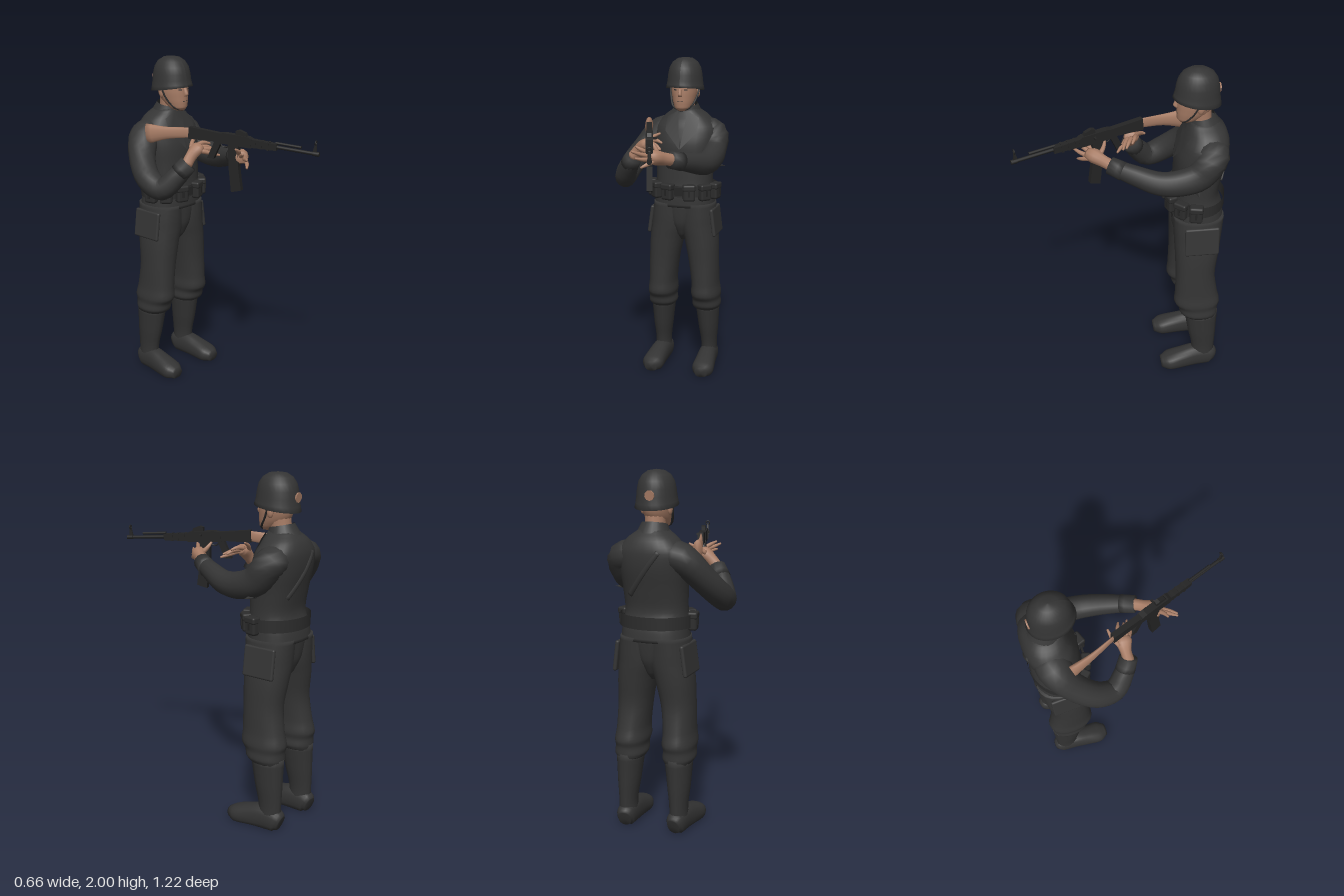
import * as THREE from 'three';
import { RoundedBoxGeometry } from 'three/addons/geometries/RoundedBoxGeometry.js';

const mat = (name, color) => Object.assign(new THREE.MeshStandardMaterial({ color, side: THREE.DoubleSide }), { name });
const CX = 0.06; // middle of the body
const Y = new THREE.Vector3(0, 1, 0), Z = new THREE.Vector3(0, 0, 1);
const power = (v, e) => Math.sign(v) * Math.abs(v) ** e;

// Smooth sweep through points [x, y, z, halfWidth, halfDepth]; square < 1 makes the section boxier
function sweep(pts, { n = 14, steps = 4, ref = Y, level = false, floor = -9, square = 1 } = {}) {
  const path = new THREE.CatmullRomCurve3(pts.map(p => new THREE.Vector3(p[0], p[1], p[2])));
  const radii = new THREE.CatmullRomCurve3(pts.map(p => new THREE.Vector3(p[3], p[4], 0)), false, 'catmullrom', 0.4);
  const rows = (pts.length - 1) * steps, pos = [], idx = [];
  for (let i = 0; i <= rows; i++) {
    const c = path.getPoint(i / rows), r = radii.getPoint(i / rows);
    const t = level ? Y.clone() : path.getTangent(i / rows);
    const u = t.clone().cross(level ? Z : ref).normalize(), v = u.clone().cross(t);
    for (let j = 0; j < n; j++) {
      const a = j / n * Math.PI * 2;
      const p = c.clone().addScaledVector(u, r.x * power(Math.cos(a), square)).addScaledVector(v, r.y * power(Math.sin(a), square));
      pos.push(p.x, Math.max(p.y, floor), p.z);
      if (i < rows) {
        const b = i * n, k = (j + 1) % n;
        idx.push(b + j, b + n + j, b + k, b + k, b + n + j, b + n + k);
      }
    }
  }
  // end caps
  const first = pos.length / 3, a = pts[0], b = pts[pts.length - 1];
  pos.push(a[0], a[1], a[2], b[0], b[1], b[2]);
  for (let j = 0; j < n; j++) {
    const k = (j + 1) % n, e = rows * n;
    idx.push(first, j, k, first + 1, e + k, e + j);
  }
  const g = new THREE.BufferGeometry();
  g.setAttribute('position', new THREE.Float32BufferAttribute(pos, 3));
  g.setIndex(idx);
  g.computeVertexNormals();
  return g;
}

// Torso rings: [y, centre z, half width, half depth]
const TORSO = [[1.09, -0.445, 0.192, 0.152], [1.16, -0.44, 0.186, 0.148], [1.25, -0.43, 0.176, 0.13], [1.36, -0.44, 0.18, 0.136],
  [1.48, -0.455, 0.192, 0.146], [1.57, -0.47, 0.195, 0.135], [1.635, -0.475, 0.145, 0.112], [1.69, -0.46, 0.075, 0.08]];
const BOXY = 0.85;
function torsoZ(x, y, side) {
  const i = Math.max(0, TORSO.findIndex(r => r[0] >= y) - 1), a = TORSO[i], b = TORSO[i + 1];
  const k = (y - a[0]) / (b[0] - a[0]), m = j => a[j] + (b[j] - a[j]) * k;
  const q = Math.min(1, Math.abs(x - CX) / m(2));
  return m(1) + side * m(3) * (1 - q ** (2 / BOXY)) ** (BOXY / 2);
}

export function createModel() {
  const cloth = mat('uniformCloth', 0x353535), helmetMat = mat('helmetPaint', 0x343434), leather = mat('bootLeather', 0x333333);
  const webbing = mat('webbing', 0x2c2c2c), metal = mat('gunMetal', 0x242424), skin = mat('skin', 0xa87d66);
  const root = new THREE.Group();
  const add = (name, geo, m, parent = root) => {
    const mesh = new THREE.Mesh(geo, m);
    mesh.name = name;
    parent.add(mesh);
    return mesh;
  };
  const box = (name, m, s, p, parent = root, r = 0) => {
    const mesh = add(name, r ? new RoundedBoxGeometry(...s, 2, r) : new THREE.BoxGeometry(...s), m, parent);
    mesh.position.set(...p);
    return mesh;
  };

  // Jacket, neck and pelvis
  add('jacket', sweep(TORSO.map(r => [CX, ...r]), { n: 28, level: true, square: BOXY }), cloth);
  add('neck', sweep([[CX, 1.6, -0.46, 0.06, 0.06], [CX, 1.68, -0.445, 0.055, 0.06], [CX, 1.8, -0.43, 0.06, 0.065]], { level: true }), skin);
  add('pelvis', sweep([[CX, 0.865, -0.44, 0.02, 0.06], [CX, 0.91, -0.44, 0.05, 0.1], [CX, 0.99, -0.442, 0.11, 0.134],
    [CX, 1.11, -0.445, 0.186, 0.146]], { n: 22, level: true }), cloth);
  const collar = add('collar', new THREE.CylinderGeometry(0.07, 0.098, 0.065, 20, 1, true, 0.4, Math.PI * 2 - 0.8), cloth);
  collar.position.set(CX, 1.685, -0.455);
  collar.rotation.x = 0.2;
  for (const s of [-1, 1]) {
    const x = d => CX + s * d;
    // Lapels
    const lapel = new THREE.BufferGeometry();
    const corners = [[0.03, 1.68], [0.1, 1.64], [0.1, 1.56], [0.0, 1.45]];
    lapel.setAttribute('position', new THREE.Float32BufferAttribute(corners.flatMap(([d, y]) =>
      [x(d), y, torsoZ(x(d), y, 1) + 0.012]), 3));
    lapel.setIndex(s > 0 ? [0, 2, 1, 0, 3, 2] : [0, 1, 2, 0, 2, 3]);
    lapel.computeVertexNormals();
    add('lapel', lapel, cloth);

    // Trouser leg, boot and side pocket
    add('trouserLeg', sweep([[x(0.145), 0.405, -0.475, 0.078, 0.1], [x(0.145), 0.43, -0.465, 0.09, 0.115], [x(0.145), 0.47, -0.46, 0.086, 0.12],
      [x(0.143), 0.51, -0.452, 0.092, 0.138], [x(0.14), 0.58, -0.445, 0.086, 0.128], [x(0.13), 0.72, -0.435, 0.093, 0.118],
      [x(0.112), 0.87, -0.44, 0.106, 0.13], [x(0.095), 0.96, -0.442, 0.113, 0.138], [x(0.09), 1.03, -0.443, 0.112, 0.143],
      [x(0.086), 1.11, -0.445, 0.106, 0.147]], { n: 20, level: true, square: 0.9 }), cloth);
    add('bootShaft', sweep([[x(0.155), 0.06, -0.505, 0.052, 0.07], [x(0.155), 0.15, -0.505, 0.05, 0.072],
      [x(0.152), 0.28, -0.492, 0.064, 0.088], [x(0.147), 0.43, -0.48, 0.077, 0.103]], { level: true }), leather);
    add('bootFoot', sweep([[x(0.15), 0.045, -0.577, 0.036, 0.045], [x(0.153), 0.056, -0.55, 0.053, 0.066], [x(0.157), 0.062, -0.46, 0.058, 0.074],
      [x(0.163), 0.05, -0.37, 0.064, 0.064], [x(0.167), 0.037, -0.29, 0.068, 0.051], [x(0.167), 0.03, -0.24, 0.038, 0.033]],
      { floor: 0, n: 18, square: 0.85 }), leather);
    box('sidePocket', cloth, [0.024, 0.175, 0.2], [x(0.2), 0.99, -0.45], root, 0.011).rotation.z = s * 0.13;
  }

  // Belt with ammunition pouches
  const belt = add('belt', new THREE.CylinderGeometry(0.204, 0.204, 0.07, 32, 1, true), webbing);
  belt.scale.z = 0.79;
  belt.position.set(CX, 1.195, -0.44);
  for (const deg of [-78, -48, -19, 19, 48, 78]) {
    const a = deg * Math.PI / 180, g = new THREE.Group();
    g.name = 'ammoPouch';
    g.position.set(CX + 0.208 * Math.sin(a), 1.19, -0.44 + 0.168 * Math.cos(a));
    g.rotation.y = a;
    root.add(g);
    box('pouchBody', webbing, [0.075, 0.09, 0.05], [0, -0.005, 0], g, 0.015);
    box('pouchFlap', webbing, [0.08, 0.04, 0.056], [0, 0.033, 0], g, 0.012);
    box('pouchStud', metal, [0.012, 0.04, 0.006], [0, 0.0, 0.027], g);
  }
  box('beltBuckle', metal, [0.05, 0.05, 0.012], [CX, 1.195, -0.28]);

  // Strap running diagonally over the back
  const strap = [];
  for (let i = 0; i <= 6; i++) {
    const x = -0.02 + i * 0.03, y = 1.58 - i * 0.04;
    strap.push([x, y, torsoZ(x, y, -1) - 0.001, 0.015, 0.008]);
  }
  add('backStrap', sweep(strap, { n: 8, ref: Z }), cloth);

  // Head, face and ears
  add('head', sweep([[CX, 1.685, -0.36, 0.03, 0.035], [CX, 1.705, -0.375, 0.052, 0.065], [CX, 1.75, -0.4, 0.069, 0.094],
    [CX, 1.8, -0.41, 0.078, 0.104], [CX, 1.9, -0.41, 0.08, 0.1]], { n: 20, level: true }), skin);
  add('nose', sweep([[CX, 1.82, -0.312, 0.009, 0.012], [CX, 1.785, -0.302, 0.013, 0.016], [CX, 1.772, -0.306, 0.013, 0.01]], { n: 8, level: true }), skin);
  box('mouth', webbing, [0.036, 0.003, 0.008], [CX, 1.742, -0.311]);
  for (const s of [-1, 1]) {
    box('eye', webbing, [0.02, 0.006, 0.008], [CX + s * 0.032, 1.812, -0.317]).rotation.y = s * 0.35;
    const ear = add('ear', new THREE.SphereGeometry(1, 10, 8), skin);
    ear.scale.set(0.012, 0.03, 0.02);
    ear.position.set(CX + s * 0.08, 1.79, -0.425);
    add('chinStrap', sweep([[CX + s * 0.092, 1.83, -0.42, 0.007, 0.005], [CX + s * 0.079, 1.76, -0.39, 0.007, 0.005],
      [CX + s * 0.052, 1.705, -0.35, 0.007, 0.005], [CX, 1.683, -0.335, 0.007, 0.005]], { n: 6 }), webbing);
  }

  // Helmet with a flared rim, lower at the back
  const profile = [[0.09, 1.84], [0.108, 1.806], [0.117, 1.8], [0.112, 1.825], [0.107, 1.86], [0.103, 1.9], [0.094, 1.94], [0.075, 1.972], [0.045, 1.993], [0, 2]];
  const helmetGeo = new THREE.LatheGeometry(profile.map(([r, y]) => new THREE.Vector2(r, y)), 28);
  const hp = helmetGeo.attributes.position;
  for (let i = 0; i < hp.count; i++) {
    const low = Math.max(0, (1.88 - hp.getY(i)) / 0.08);
    hp.setXYZ(i, hp.getX(i) + CX, hp.getY(i) + low * (hp.getZ(i) * 0.17 + 0.008), hp.getZ(i) * 1.15 - 0.418);
  }
  helmetGeo.computeVertexNormals();
  add('helmet', helmetGeo, helmetMat);
  const patch = add('helmetBackPatch', new THREE.CylinderGeometry(0.028, 0.028, 0.008, 9), skin);
  patch.rotation.x = Math.PI / 2 - 0.1;
  patch.position.set(CX - 0.012, 1.868, -0.541);

  // Sleeves and cuffs
  add('rightSleeve', sweep([[-0.01, 1.56, -0.48, 0.09, 0.075], [-0.105, 1.54, -0.48, 0.098, 0.085], [-0.2, 1.43, -0.415, 0.079, 0.075],
    [-0.257, 1.325, -0.3, 0.073, 0.073], [-0.252, 1.287, -0.2, 0.065, 0.066], [-0.208, 1.36, -0.13, 0.057, 0.06], [-0.165, 1.43, -0.085, 0.048, 0.05]]), cloth);
  add('rightCuff', sweep([[-0.195, 1.385, -0.115, 0.056, 0.058], [-0.155, 1.44, -0.08, 0.052, 0.054]], { steps: 2 }), cloth);
  add('leftSleeve', sweep([[0.13, 1.56, -0.48, 0.09, 0.075], [0.222, 1.535, -0.487, 0.094, 0.086], [0.25, 1.44, -0.42, 0.073, 0.085],
    [0.25, 1.4, -0.31, 0.068, 0.077], [0.235, 1.395, -0.2, 0.064, 0.068], [0.185, 1.425, -0.07, 0.055, 0.058], [0.125, 1.455, 0.05, 0.044, 0.047]]), cloth);
  add('leftCuff', sweep([[0.155, 1.44, -0.005, 0.052, 0.055], [0.115, 1.46, 0.065, 0.049, 0.05]], { steps: 2 }), cloth);
  const tear = add('clothSpike', new THREE.ConeGeometry(0.035, 0.12, 4), cloth);
  tear.rotation.z = -Math.PI / 2;
  tear.scale.set(0.7, 1, 1.4);
  tear.position.set(0.268, 1.352, -0.4);
  // Bare strip between the shoulder and the stock
  add('bareShoulderStrip', sweep([[-0.165, 1.57, -0.4, 0.026, 0.06], [-0.13, 1.588, -0.27, 0.015, 0.036], [-0.08, 1.603, -0.13, 0.007, 0.03]]), skin);

  // Hands: a palm and five fingers each, from knuckle to tip
  const hand = (name, palm, fingers) => {
    const g = new THREE.Group();
    g.name = name;
    root.add(g);
    add('palm', sweep(palm, { n: 10 }), skin, g);
    for (const [a, b, c] of fingers) add('finger', sweep([[...a, 0.014, 0.014], [...b, 0.012, 0.012], [...c, 0.006, 0.006]], { n: 8 }), skin, g);
  };
  hand('leftHand', [[0.13, 1.455, 0.04, 0.033, 0.035], [0.085, 1.472, 0.1, 0.031, 0.038], [0.045, 1.485, 0.145, 0.043, 0.044], [0.015, 1.488, 0.175, 0.035, 0.032]],
    [[[0.05, 1.5, 0.11], [0.03, 1.53, 0.09], [0.005, 1.56, 0.08]], [[0.02, 1.505, 0.15], [-0.02, 1.53, 0.18], [-0.055, 1.55, 0.19]],
      [[0.02, 1.495, 0.165], [-0.02, 1.51, 0.205], [-0.06, 1.53, 0.245]], [[0.03, 1.48, 0.18], [0, 1.485, 0.22], [-0.035, 1.495, 0.255]],
      [[0.045, 1.47, 0.175], [0.02, 1.455, 0.21], [-0.01, 1.44, 0.235]]]);
  hand('rightHand', [[-0.17, 1.43, -0.085, 0.033, 0.032], [-0.13, 1.475, -0.085, 0.031, 0.035], [-0.085, 1.515, -0.08, 0.045, 0.036], [-0.06, 1.525, -0.075, 0.036, 0.026]],
    [[[-0.1, 1.52, -0.11], [-0.06, 1.55, -0.135], [-0.012, 1.575, -0.145]], [[-0.065, 1.53, -0.1], [-0.02, 1.54, -0.09], [0.02, 1.53, -0.072]],
      [[-0.065, 1.52, -0.08], [-0.02, 1.52, -0.06], [0.018, 1.5, -0.04]], [[-0.07, 1.515, -0.06], [-0.02, 1.51, -0.035], [0.028, 1.5, -0.02]],
      [[-0.075, 1.505, -0.05], [-0.03, 1.49, -0.02], [0.012, 1.475, 0.012]]]);

  // Rifle, built along its own z axis from the butt
  const gun = new THREE.Group();
  gun.name = 'rifle';
  gun.position.set(-0.08, 1.605, -0.14);
  gun.rotation.set(0.07, 0.314, 0, 'YXZ');
  root.add(gun);
  const plate = (name, pts, w) => {
    const geo = new THREE.ExtrudeGeometry(new THREE.Shape(pts.map(p => new THREE.Vector2(...p))), { depth: w, bevelEnabled: false });
    add(name, geo.translate(0, 0, -w / 2).rotateY(-Math.PI / 2), metal, gun);
  };
  const rod = (name, r, from, to, y) => {
    const m = add(name, new THREE.CylinderGeometry(r, r, to - from, 12), metal, gun);
    m.rotation.x = Math.PI / 2;
    m.position.set(0, y, (from + to) / 2);
  };
  plate('stock', [[0, -0.037], [0, 0.033], [0.19, 0.026], [0.19, -0.024]], 0.034);
  plate('receiver', [[0.18, -0.03], [0.18, 0.024], [0.22, 0.032], [0.37, 0.032], [0.39, 0.022], [0.39, -0.03]], 0.04);
  plate('pistolGrip', [[0.165, -0.025], [0.205, -0.025], [0.165, -0.13], [0.125, -0.13]], 0.028);
  plate('magazine', [[0.252, -0.02], [0.312, -0.02], [0.322, -0.15], [0.35, -0.285], [0.29, -0.305], [0.262, -0.15]], 0.034);
  plate('rearSight', [[0.29, 0.03], [0.29, 0.055], [0.31, 0.062], [0.35, 0.05], [0.36, 0.03]], 0.024);
  plate('handguard', [[0.385, -0.025], [0.385, 0.022], [0.54, 0.018], [0.54, -0.018]], 0.036);
  plate('frontSight', [[0.745, 0], [0.755, 0.05], [0.765, 0.05], [0.772, 0]], 0.01);
  rod('barrel', 0.01, 0.5, 0.78, 0);
  rod('gasTube', 0.008, 0.53, 0.68, 0.022);
  rod('muzzle', 0.013, 0.75, 0.785, 0);
  for (const s of [0.41, 0.45, 0.49]) box('handguardRib', metal, [0.041, 0.046, 0.012], [0, -0.001, s], gun);
  const sightRing = add('sightRing', new THREE.TorusGeometry(0.011, 0.004, 6, 14), metal, gun);
  sightRing.position.set(0, 0.061, 0.76);
  const guard = add('triggerGuard', new THREE.TorusGeometry(0.026, 0.004, 6, 12, Math.PI), metal, gun);
  guard.rotation.set(Math.PI, Math.PI / 2, 0);
  guard.position.set(0, -0.028, 0.225);
  box('boltHandle', metal, [0.025, 0.01, 0.012], [0.03, 0.01, 0.3], gun);
  return root;
}
